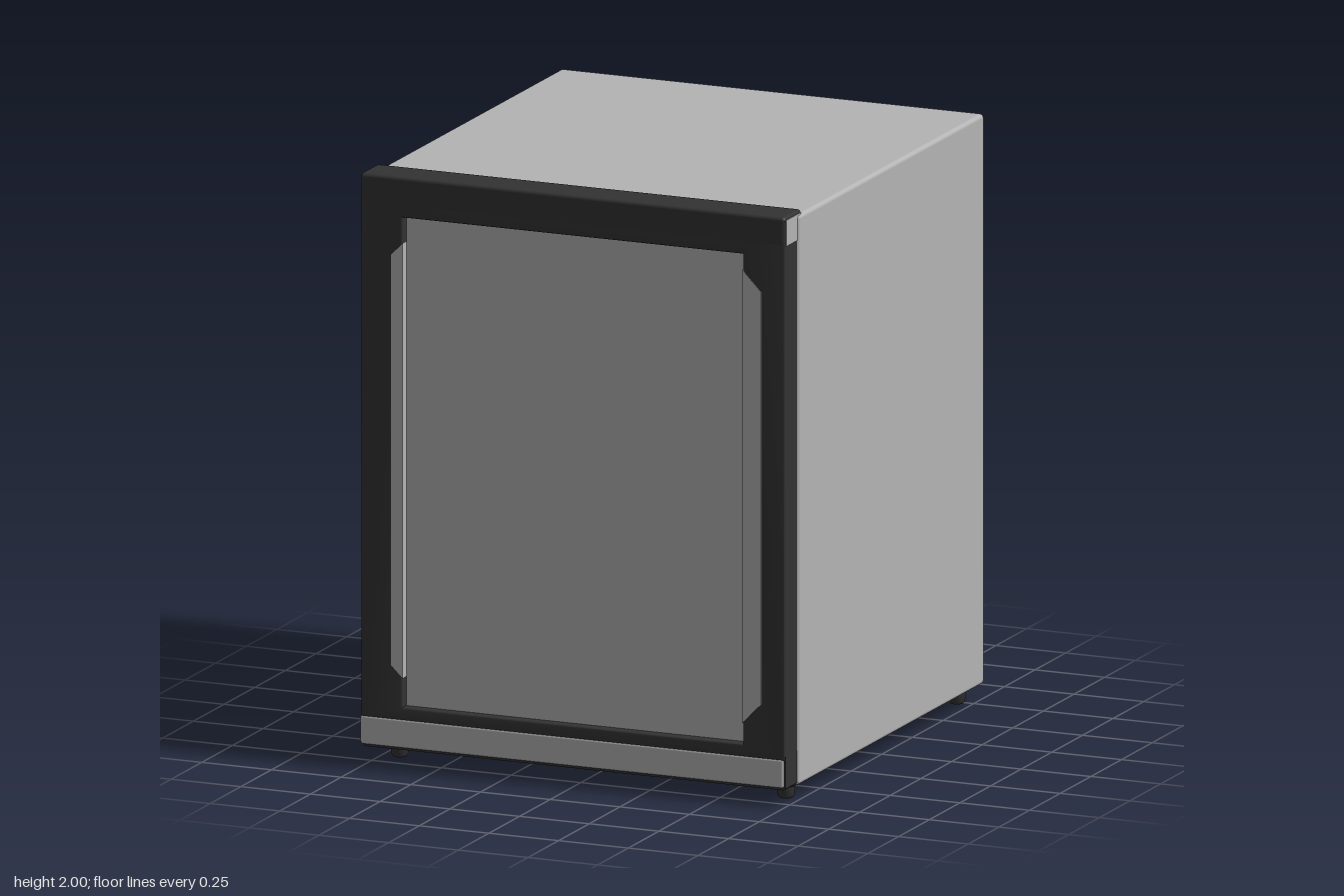
import * as THREE from 'three';
import { RoundedBoxGeometry } from 'three/addons/geometries/RoundedBoxGeometry.js';
import { toCreasedNormals } from 'three/addons/utils/BufferGeometryUtils.js';

const grey = new THREE.MeshStandardMaterial({ color: 0xb4b4b4 });
grey.name = 'light grey';
const dark = new THREE.MeshStandardMaterial({ color: 0x333333 });
dark.name = 'charcoal';

export function createModel() {
  const model = new THREE.Group();
  model.name = 'cabinetFridge';

  function add(name, geometry, material, x = 0, y = 0, z = 0) {
    const mesh = new THREE.Mesh(geometry, material);
    mesh.name = name;
    mesh.position.set(x, y, z);
    model.add(mesh);
    return mesh;
  }

  // Box given by its limits, rounded when r is set
  function block(name, material, [x0, x1], [y0, y1], [z0, z1], r = 0) {
    const size = [x1 - x0, y1 - y0, z1 - z0];
    const geometry = r ? new RoundedBoxGeometry(...size, 3, r) : new THREE.BoxGeometry(...size);
    return add(name, geometry, material, (x0 + x1) / 2, (y0 + y1) / 2, (z0 + z1) / 2);
  }

  function polygon(points) {
    return new THREE.Shape(points.map(([x, y]) => new THREE.Vector2(x, y)));
  }

  // Cabinet
  block('cabinet', grey, [-0.755, 0.765], [0.057, 1.987], [-0.805, 0.71], 0.014);

  // Door frame with a rectangular opening and softened edges
  const b = 0.008;
  const frame = polygon([[-0.765 + b, 0.165], [0.757 - b, 0.165], [0.757 - b, 1.98], [-0.765 + b, 1.98]]);
  frame.holes.push(polygon([[-0.615 - b, 0.205 - b], [-0.615 - b, 1.862 + b], [0.605 + b, 1.862 + b], [0.605 + b, 0.205 - b]]));
  const frameGeometry = new THREE.ExtrudeGeometry(frame, {
    depth: 0.1 - 2 * b, bevelSize: b, bevelThickness: b, bevelSegments: 3,
  });
  add('doorFrame', toCreasedNormals(frameGeometry, 0.6), dark, 0, 0, 0.706 + b);

  // Recessed door panel
  block('doorPanel', grey, [-0.64, 0.63], [0.18, 1.89], [0.72, 0.775]);

  // Top bar reaching back over the cabinet, with a pale cap on the hinge end
  block('topBar', dark, [-0.767, 0.757], [1.9, 2.0], [0.67, 0.807], 0.012);
  block('hingeCap', grey, [0.75, 0.759], [1.902, 1.99], [0.68, 0.8]);

  // Bottom rail with a dark hinge end and underside
  block('bottomRail', grey, [-0.767, 0.752], [0.068, 0.165], [0.706, 0.808], 0.008);
  block('railEnd', dark, [0.748, 0.757], [0.066, 0.175], [0.708, 0.802]);
  block('railUnderside', dark, [-0.755, 0.75], [0.06, 0.07], [0.7, 0.8]);

  // Side grips with slanted ends
  function grip(name, inner, outer, low, high, slant) {
    const points = [[inner, low], [outer, low + slant], [outer, high - slant], [inner, high]];
    if (outer < inner) points.reverse();
    add(name, new THREE.ExtrudeGeometry(polygon(points), { depth: 0.07, bevelEnabled: false }), grey, 0, 0, 0.7385);
  }
  grip('rightGrip', -0.614, -0.655, 0.305, 1.775, 0.04);
  grip('leftGrip', 0.604, 0.672, 0.275, 1.81, 0.07);

  // Pale finger plate on the opening side of the door
  block('fingerPlate', grey, [-0.768, -0.76], [0.74, 1.14], [0.745, 0.798]);

  // Feet
  const foot = new THREE.LatheGeometry(
    [[0, 0], [0.022, 0], [0.027, 0.006], [0.031, 0.04], [0.037, 0.045], [0.037, 0.062]]
      .map(([r, y]) => new THREE.Vector2(r, y)), 20);
  for (const x of [-0.69, 0.695]) {
    for (const z of [-0.737, 0.657]) add('foot', toCreasedNormals(foot, 0.6), dark, x, 0, z);
  }

  // Cable slots and screws on the back
  const disc = new THREE.CylinderGeometry(1, 1, 0.006, 20).rotateX(Math.PI / 2);
  for (const [name, x, y, rx, ry] of [
    ['cableSlot', 0.54, 0.32, 0.045, 0.017],
    ['cableSlot', 0.39, 0.325, 0.045, 0.017],
    ['backScrew', 0.71, 1.9, 0.012, 0.012],
    ['backScrew', -0.68, 0.13, 0.012, 0.012],
  ]) add(name, disc, dark, x, y, -0.804).scale.set(rx, ry, 1);

  return model;
}
